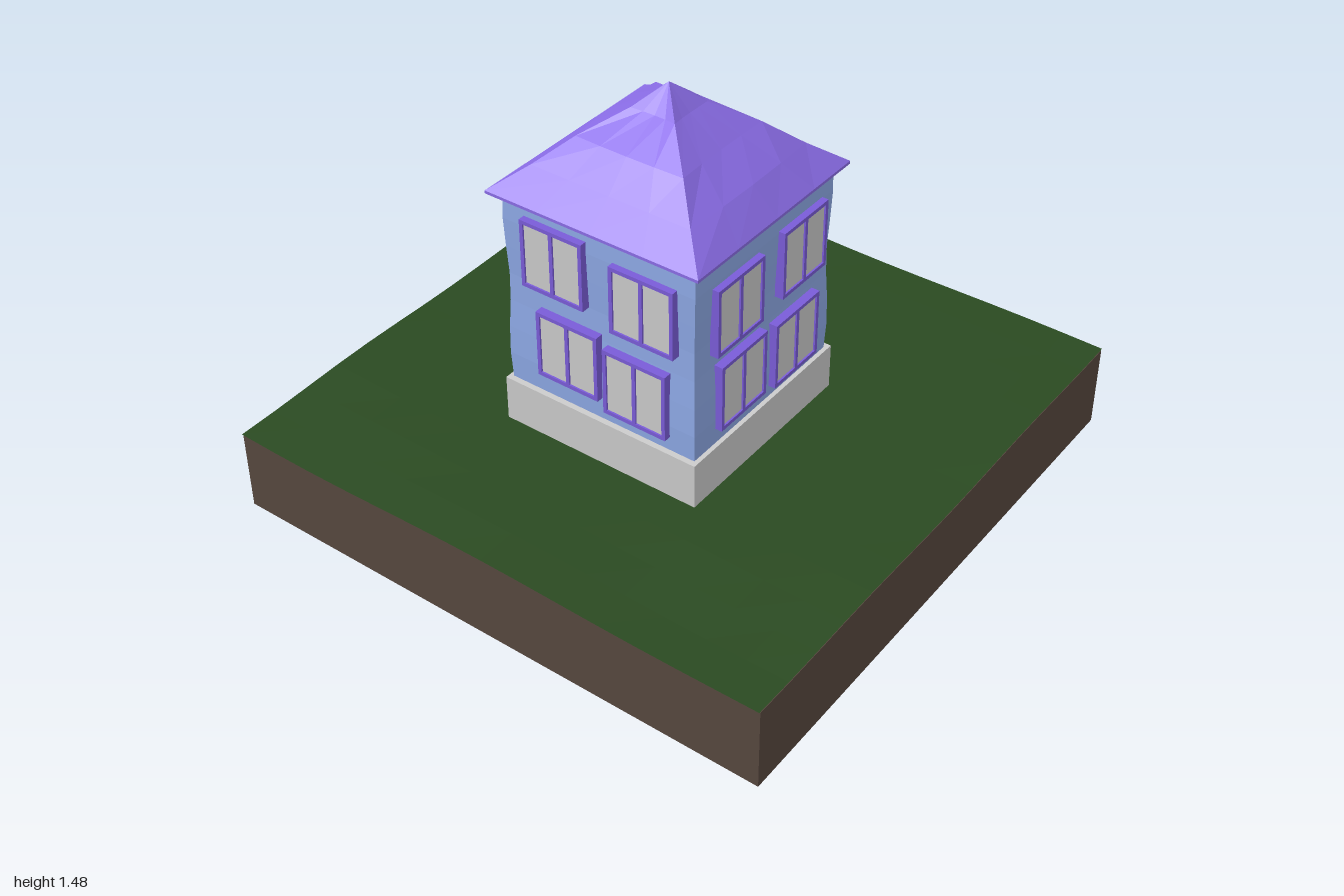
import * as THREE from 'three';

const mat = (color) => new THREE.MeshStandardMaterial({ color, flatShading: true, side: THREE.DoubleSide });
const MAT = {
  grass: mat(0x2a4a21), soil: mat(0x57483f), wall: mat(0x8ea9e6),
  roof: mat(0x8b6de8), trim: mat(0x7a5cd8), grey: mat(0xcccccc),
};
const HOUSE_Z = 0.07;

function add(parent, name, geometry, material, x = 0, y = 0, z = 0) {
  const mesh = new THREE.Mesh(geometry, material);
  mesh.name = name;
  mesh.position.set(x, y, z);
  parent.add(mesh);
  return mesh;
}

const box = (parent, name, material, w, h, d, x, y, z) =>
  add(parent, name, new THREE.BoxGeometry(w, h, d), material, x, y, z);

// Moves every vertex of a geometry by a rule
function warp(geometry, rule) {
  const p = geometry.attributes.position;
  const v = new THREE.Vector3();
  for (let i = 0; i < p.count; i++) {
    rule(v.fromBufferAttribute(p, i));
    p.setXYZ(i, v.x, v.y, v.z);
  }
  geometry.computeVertexNormals();
  return geometry;
}

// Gentle unevenness of the lawn, flat under the house
function lawnHeight(x, z) {
  const r = Math.max(Math.abs(x), Math.abs(z));
  const k = THREE.MathUtils.smoothstep(r, 0.5, 1);
  return 0.3 + k * (0.005 * Math.sin(5 * x + 2 * z) + 0.004 * Math.cos(7 * z - 3 * x) - 0.003 * z);
}

function buildGround(parent) {
  const ground = new THREE.Group();
  ground.name = 'ground';
  parent.add(ground);
  const soil = new THREE.BoxGeometry(1.98, 0.3, 1.99, 14, 1, 14).translate(0, 0.15, 0);
  add(ground, 'soil', warp(soil, (v) => { if (v.y > 0.2) v.y = lawnHeight(v.x, v.z) - 0.004; }), MAT.soil);
  const lawn = new THREE.PlaneGeometry(1.98, 2, 14, 14).rotateX(-Math.PI / 2);
  add(ground, 'lawn', warp(lawn, (v) => { v.y = lawnHeight(v.x, v.z); }), MAT.grass);
}

// Concave four-sided roof made of square rings
function roofGeometry() {
  const rings = [[0, 1.155], [0.388, 1.145], [0.388, 1.155], [0.29, 1.232], [0.195, 1.318], [0.08, 1.4], [0, 1.476]];
  const side = 4;
  const n = side * 4;
  const pos = [];
  const index = [];
  rings.forEach(([r, y], j) => {
    for (let i = 0; i < n; i++) {
      const edge = Math.floor(i / side);
      const t = (i % side) / side * 2 - 1;
      const bulge = j > 2 ? 0.012 * (1 - t * t) * Math.sin(j * 2.1 + edge * 1.7) : 0;
      const a = edge * Math.PI / 2;
      const out = r === 0 ? 0 : r + bulge;
      const x = t * r;
      pos.push(out * Math.sin(a) + x * Math.cos(a), y + bulge * 0.5 * (r > 0), out * Math.cos(a) - x * Math.sin(a));
      if (j > 0) {
        const k = (i + 1) % n;
        const a0 = (j - 1) * n + i, b0 = (j - 1) * n + k, a1 = j * n + i, b1 = j * n + k;
        index.push(a0, b0, b1, a0, b1, a1);
      }
    }
  });
  const g = new THREE.BufferGeometry();
  g.setAttribute('position', new THREE.Float32BufferAttribute(pos, 3));
  g.setIndex(index);
  g.computeVertexNormals();
  return g;
}

// Two-pane window with frame, facing +z
function windowGroup(w, h) {
  const g = new THREE.Group();
  g.name = 'window';
  const b = 0.013;
  const depth = 0.04;
  for (const s of [-1, 1]) {
    box(g, 'frameSide', MAT.trim, b, h, depth, s * (w - b) / 2, 0, 0);
    box(g, 'frameRail', MAT.trim, w, b, depth, 0, s * (h - b) / 2, 0);
    box(g, 'pane', MAT.grey, w / 2 - b, h - 2 * b, 0.028, s * w / 4, 0, 0);
  }
  box(g, 'mullion', MAT.trim, b, h - b, depth, 0, 0, 0);
  return g;
}

// Window centres on each wall: [offset to the viewer's right, height]
const FACADES = [
  { angle: 0, spots: [[-0.155, 0.975], [0.175, 0.943], [-0.108, 0.66], [0.145, 0.63]] },
  { angle: Math.PI / 2, spots: [[-0.155, 0.925], [0.178, 0.943], [-0.132, 0.638], [0.15, 0.622]] },
  { angle: Math.PI, spots: [[-0.175, 0.955], [0.13, 0.96]] },
  { angle: -Math.PI / 2, spots: [[-0.14, 0.94], [0.175, 0.98], [-0.14, 0.645], [0.175, 0.655]] },
];

function buildHouse(parent) {
  const house = new THREE.Group();
  house.name = 'house';
  house.position.z = HOUSE_Z;
  parent.add(house);

  box(house, 'foundation', MAT.grey, 0.73, 0.17, 0.74, 0, 0.375, 0);

  // Slightly crooked walls
  const walls = new THREE.BoxGeometry(0.7, 0.7, 0.7, 4, 7, 4).translate(0, 0.805, 0);
  add(house, 'walls', warp(walls, (v) => {
    const k = 1 + 0.012 * Math.sin((v.y - 0.46) * 13);
    v.x *= k;
    v.z *= k;
  }), MAT.wall);
  add(house, 'roof', roofGeometry(), MAT.roof);

  for (const { angle, spots } of FACADES) {
    const facade = new THREE.Group();
    facade.name = 'facadeWindows';
    facade.rotation.y = angle;
    house.add(facade);
    for (const [x, y] of spots) {
      const win = windowGroup(0.232, 0.237);
      win.position.set(x, y, 0.357);
      facade.add(win);
    }
  }

  // Doorway with the door standing ajar
  const entrance = new THREE.Group();
  entrance.name = 'entrance';
  entrance.position.set(0.01, 0.46, -0.36);
  house.add(entrance);
  box(entrance, 'doorPanel', MAT.trim, 0.11, 0.23, 0.02, 0, 0.115, 0);
  for (const s of [-1, 1]) box(entrance, 'doorPost', MAT.trim, 0.014, 0.24, 0.04, s * 0.06, 0.12, 0);
  box(entrance, 'doorLintel', MAT.trim, 0.134, 0.014, 0.04, 0, 0.24, 0);
  const door = box(entrance, 'openDoor', MAT.trim, 0.1, 0.23, 0.014, -0.014, 0.125, -0.037);
  door.rotation.y = -0.3;
}

// Back stairs between two stepped side walls
function buildStairs(parent) {
  const stairs = new THREE.Group();
  stairs.name = 'stairs';
  stairs.position.x = -0.004;
  parent.add(stairs);
  const back = -0.28;
  const steps = 5;
  for (let i = 0; i < steps; i++) {
    const end = -0.4 - i * 0.038;
    const top = 0.46 - i * 0.03;
    box(stairs, 'step', MAT.grey, 0.25, top - 0.29, back - end, 0, (top + 0.29) / 2, (back + end) / 2);
  }
  const profile = [[0.28, 0.29], [0.568, 0.29], [0.568, 0.44], [0.522, 0.44], [0.522, 0.478], [0.475, 0.478],
    [0.475, 0.516], [0.43, 0.516], [0.43, 0.555], [0.28, 0.555]];
  const shape = new THREE.Shape(profile.map(([d, y]) => new THREE.Vector2(d, y)));
  const thick = 0.026;
  for (const s of [-1, 1]) {
    const g = new THREE.ExtrudeGeometry(shape, { depth: thick, bevelEnabled: false });
    g.translate(0, 0, -thick / 2).rotateY(Math.PI / 2);
    add(stairs, 'stairWall', g, MAT.grey, s * 0.132, 0, 0);
  }
}

export function createModel() {
  const model = new THREE.Group();
  model.name = 'houseOnLawn';
  buildGround(model);
  buildHouse(model);
  buildStairs(model);
  return model;
}
